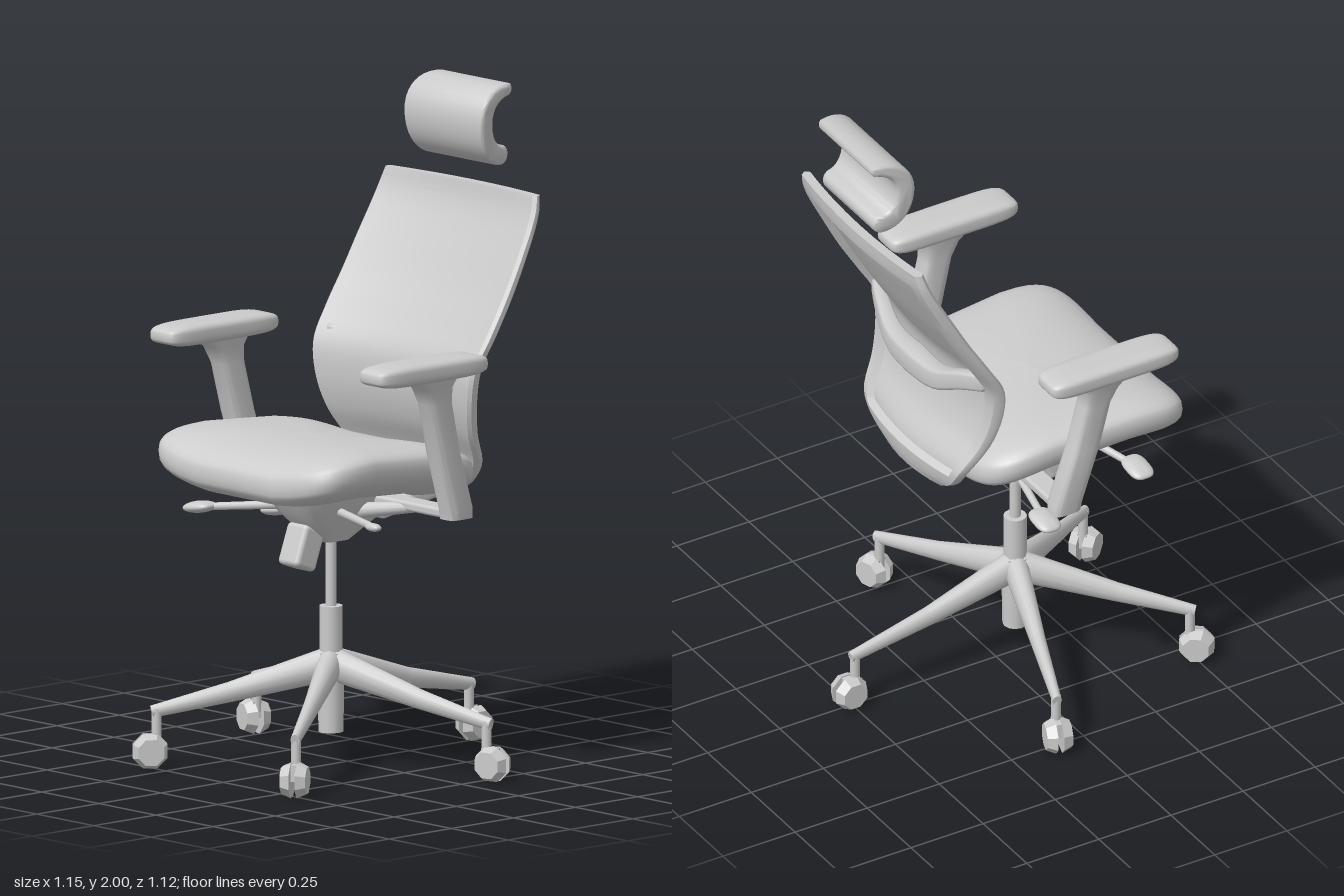
import * as THREE from 'three';
import { toCreasedNormals } from 'three/addons/utils/BufferGeometryUtils.js';
import { RoundedBoxGeometry } from 'three/addons/geometries/RoundedBoxGeometry.js';

const grey = new THREE.MeshStandardMaterial({ color: 0xcccccc });
const V = (x, y, z) => new THREE.Vector3(x, y, z);
const spow = (v, e) => Math.sign(v) * Math.pow(Math.abs(v), e);

function add(parent, name, geometry, pos = [0, 0, 0], rot = [0, 0, 0]) {
  const mesh = new THREE.Mesh(geometry, grey);
  mesh.name = name;
  mesh.position.set(...pos);
  mesh.rotation.set(...rot);
  parent.add(mesh);
  return mesh;
}

// Skin over closed rings of equal length, ordered from bottom to top
function loft(rings) {
  const n = rings[0].length, idx = [];
  for (let i = 0; i < rings.length - 1; i++)
    for (let j = 0; j < n; j++) {
      const a = i * n + j, b = i * n + (j + 1) % n;
      idx.push(a, b, a + n, b, b + n, a + n);
    }
  const g = new THREE.BufferGeometry().setFromPoints(rings.flat());
  g.setIndex(idx);
  g.computeVertexNormals();
  return g;
}

// Horizontal superellipse ring
function ring(x, y, z, a, c, e = 4, n = 24) {
  return Array.from({ length: n }, (_, j) => {
    const t = (j + 0.5) / n * Math.PI * 2;
    return V(x + a * spow(Math.cos(t), 2 / e), y, z - c * spow(Math.sin(t), 2 / e));
  });
}

// Stack of rings [x, y, z, halfWidth, halfDepth], closed at both ends
function stack(rows) {
  const f = rows[0], l = rows[rows.length - 1];
  const rings = rows.map(r => ring(...r));
  rings.unshift(ring(f[0], f[1], f[2], 0, 0));
  rings.push(ring(l[0], l[1], l[2], 0, 0));
  return toCreasedNormals(loft(rings), 0.8);
}

// Cushion with superellipse plan and rounded rim, bent by a rule
function pillow(a, h, c, plan, rim, warp) {
  const rings = [], n = 24;
  for (let i = 0; i <= n; i++) {
    const p = (i / n - 0.5) * Math.PI;
    const r = Math.pow(Math.max(0, Math.cos(p)), 2 / rim), y = h * spow(Math.sin(p), 2 / rim);
    const pts = ring(0, y, 0, a * r, c * r, plan, 48);
    if (warp) pts.forEach(warp);
    rings.push(pts);
  }
  return loft(rings);
}

// Tapered round bar between two points
function rod(parent, name, a, b, r1, r2 = r1, sides = 12) {
  const d = b.clone().sub(a);
  const m = add(parent, name, new THREE.CylinderGeometry(r2, r1, d.length(), sides));
  m.position.copy(a).addScaledVector(d, 0.5);
  m.quaternion.setFromUnitVectors(V(0, 1, 0), d.normalize());
  return m;
}

function backrestGeometry() {
  // Edge line: half width, height, depth of the side
  const edge = new THREE.CatmullRomCurve3([
    V(0.17, 0.8, -0.26), V(0.235, 0.84, -0.262), V(0.28, 0.9, -0.255), V(0.318, 1, -0.2),
    V(0.342, 1.1, -0.174), V(0.356, 1.2, -0.178), V(0.362, 1.3, -0.235), V(0.36, 1.4, -0.298),
    V(0.356, 1.5, -0.355), V(0.348, 1.6, -0.41), V(0.342, 1.65, -0.433), V(0.332, 1.693, -0.447)]);
  const us = [-1, -0.97, -0.87, -0.84, -0.7, -0.5, -0.25, 0, 0.25, 0.5, 0.7, 0.84, 0.87, 0.97, 1];
  const rings = [], rows = 56;
  for (let i = -1; i <= rows + 1; i++) {
    const t = THREE.MathUtils.clamp(i / rows, 0, 1), p = edge.getPoint(t);
    const swell = Math.sin(Math.PI * t);
    const closed = i < 0 || i > rows;
    const at = (u, back) => {
      const rim = Math.abs(u) > 0.85 || p.y < 0.88 || p.y > 1.635;
      const round = Math.abs(u) === 1 ? 0.012 : 0;
      const depth = closed ? 0.015 : back ? (rim ? 0.03 + 0.012 * swell : 0.014) - round : round;
      return V(u * p.x, p.y, p.z - (0.025 + 0.022 * swell) * (1 - u * u) - depth);
    };
    rings.push([...us.map(u => at(u, false)), ...us.slice().reverse().map(u => at(u, true))]);
  }
  return toCreasedNormals(loft(rings), 0.7);
}

function headrestGeometry() {
  const s = new THREE.Shape();
  s.moveTo(0.52, 2);
  s.bezierCurveTo(0.45, 2.01, 0.385, 1.97, 0.385, 1.89);
  s.bezierCurveTo(0.385, 1.81, 0.43, 1.755, 0.49, 1.757);
  s.bezierCurveTo(0.525, 1.76, 0.525, 1.815, 0.49, 1.817);
  s.bezierCurveTo(0.46, 1.82, 0.442, 1.85, 0.442, 1.89);
  s.bezierCurveTo(0.442, 1.94, 0.48, 1.96, 0.515, 1.965);
  s.quadraticCurveTo(0.535, 1.98, 0.52, 2);
  const b = 0.012;
  const g = new THREE.ExtrudeGeometry(s, { depth: 0.35 - 2 * b, curveSegments: 10, bevelSize: b, bevelThickness: b, bevelOffset: -b, bevelSegments: 3 });
  g.translate(0, 0, -0.175 + b).rotateY(Math.PI / 2);
  // Ends draw in toward the rear and the lower edge
  const p = g.attributes.position;
  for (let i = 0; i < p.count; i++)
    p.setX(i, p.getX(i) * (1 + 0.8 * (p.getZ(i) + 0.39) + 0.25 * (p.getY(i) - 1.95)) - 0.004);
  return toCreasedNormals(g, 0.8);
}

export function createModel() {
  const chair = new THREE.Group();
  chair.name = 'officeChair';

  // Five-legged base with twin-wheel casters
  const base = new THREE.Group();
  base.name = 'base';
  base.position.z = 0.066;
  chair.add(base);
  rod(base, 'hub', V(0, 0.1, 0), V(0, 0.34, 0), 0.038, 0.042);
  rod(base, 'columnSleeve', V(0, 0.3, 0), V(0, 0.48, 0), 0.035);
  rod(base, 'gasLift', V(0, 0.47, 0), V(0, 0.72, 0), 0.017);
  [0.575, 0.55, 0.54, 0.54, 0.55].forEach((reach, k) => {
    const leg = new THREE.Group();
    leg.name = 'leg';
    leg.rotation.y = Math.PI / 2 + k * Math.PI * 2 / 5;
    base.add(leg);
    rod(leg, 'legArm', V(0, 0.305, 0), V(0.3, 0.225, 0), 0.052, 0.031).scale.z = 0.75;
    rod(leg, 'legArmTip', V(0.3, 0.225, 0), V(reach - 0.005, 0.17, 0), 0.031, 0.019).scale.z = 0.75;
    rod(leg, 'casterPost', V(reach - 0.02, 0.07, 0), V(reach - 0.02, 0.18, 0), 0.015);
    add(leg, 'casterFork', new THREE.BoxGeometry(0.05, 0.05, 0.03), [reach - 0.005, 0.075, 0]);
    for (const s of [-1, 1]) {
      const wheel = new THREE.CylinderGeometry(s > 0 ? 0.042 : 0.056, s > 0 ? 0.056 : 0.042, 0.03, 8);
      add(leg, 'casterWheel', toCreasedNormals(wheel, 0.5), [reach, 0.0525, s * 0.024], [Math.PI / 2, Math.PI / 8, 0]);
    }
  });

  // Seat cushion: dished across, dropping to the rear, hollow beneath
  add(chair, 'seat', pillow(0.405, 0.09, 0.35, 6, 2.8, p => {
    const hollow = p.y < 0 ? 0.04 * Math.max(0, 1 - (p.x / 0.3) ** 2 - (p.z / 0.27) ** 2) : 0;
    p.z += 0.108;
    p.x = p.x * (0.955 + 0.14 * p.z) - 0.005;
    p.y += 0.913 + 0.3 * p.x * p.x - 0.3 * (p.z - 0.2) ** 2 + hollow;
  }));

  // Tilt mechanism, tension knob and back bracket
  add(chair, 'tiltMechanism', stack([[0, 0.68, 0.07, 0.045, 0.05], [0, 0.73, 0.06, 0.075, 0.12], [0, 0.78, 0.05, 0.11, 0.18], [0, 0.88, 0.05, 0.15, 0.22]]));
  add(chair, 'tensionKnob', new RoundedBoxGeometry(0.09, 0.13, 0.085, 2, 0.015), [-0.005, 0.67, 0.18], [-0.35, 0, 0]);
  add(chair, 'backBracket', new RoundedBoxGeometry(0.24, 0.045, 0.27, 2, 0.015), [0, 0.785, -0.165], [0.18, 0, 0]);

  // Control levers with paddles
  const levers = [[[-0.08, 0.79, 0.2], [-0.33, 0.76, 0.29]], [[-0.06, 0.75, 0], [-0.36, 0.705, -0.05]], [[0.08, 0.785, 0.12], [0.31, 0.772, 0.18]]];
  for (const [a, b] of levers) {
    rod(chair, 'lever', V(...a), V(...b), 0.013, 0.011);
    const paddle = add(chair, 'leverPaddle', pillow(0.055, 0.018, 0.038, 3, 2), b);
    if (b[0] > 0) paddle.scale.set(0.5, 0.7, 0.4);
    else paddle.rotation.z = 0.15;
  }

  // Armrests
  for (const s of [-1, 1]) {
    const arm = new THREE.Group();
    arm.name = s > 0 ? 'leftArmrest' : 'rightArmrest';
    arm.position.x = -0.007;
    chair.add(arm);
    add(arm, 'armPad', pillow(0.065, 0.034, 0.22, 6, 3.6, p => {
      p.x += s * 0.459;
      p.y += 1.257;
      p.z += 0.107;
    }));
    add(arm, 'armPost', stack([
      [s * 0.443, 0.79, -0.038, 0.034, 0.046], [s * 0.444, 0.82, -0.035, 0.037, 0.047],
      [s * 0.45, 1, 0.022, 0.037, 0.046], [s * 0.455, 1.15, 0.058, 0.037, 0.046],
      [s * 0.457, 1.2, 0.072, 0.042, 0.058], [s * 0.459, 1.245, 0.085, 0.052, 0.1]]));
    add(arm, 'armSupport', new RoundedBoxGeometry(0.36, 0.03, 0.07, 2, 0.01), [s * 0.27, 0.805, -0.035]);
    rod(arm, 'armBrace', V(s * 0.1, 0.775, 0.03), V(s * 0.3, 0.805, -0.03), 0.025, 0.015);
  }

  // Backrest shell with recessed rear panel, and its lumbar bar
  add(chair, 'backrest', backrestGeometry());
  const barPath = [[-0.335, 1.23, -0.215], [-0.24, 1.205, -0.25], [-0.13, 1.16, -0.275], [0, 1.155, -0.28], [0.13, 1.16, -0.275], [0.24, 1.205, -0.25], [0.335, 1.23, -0.215]];
  const bar = new THREE.CatmullRomCurve3(barPath.map(p => V(...p)));
  const barRings = [];
  for (let i = 0; i <= 24; i++) {
    const c = bar.getPoint(i / 24), k = i % 24 ? 1 : 0;
    const mid = 1 - Math.abs(i / 12 - 1);
    const hy = k * (0.028 + 0.014 * mid), hz = k * (0.018 + 0.018 * mid);
    barRings.push(Array.from({ length: 16 }, (_, j) => {
      const t = j / 16 * Math.PI * 2;
      return V(c.x, c.y + hy * spow(Math.cos(t), 0.5), c.z + hz * spow(Math.sin(t), 0.5));
    }));
  }
  add(chair, 'lumbarBar', loft(barRings));

  add(chair, 'headrest', headrestGeometry());
  return chair;
}
